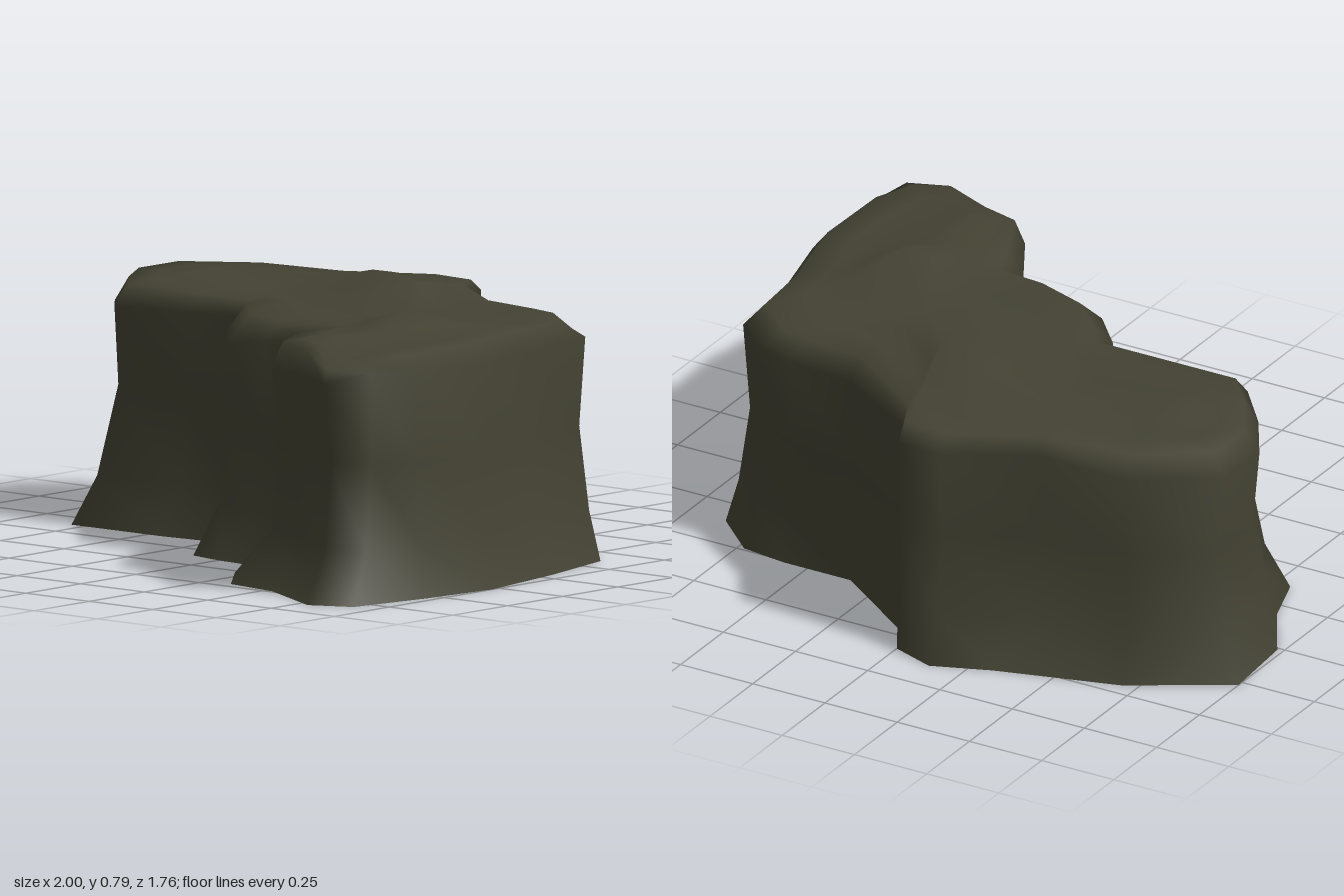
import * as THREE from 'three';
import { mergeVertices } from 'three/addons/utils/BufferGeometryUtils.js';

// Ground outline, x and z, along the back and round to the front
const base = [
  [-1, -.52], [-.7, -.7], [-.32, -.81], [-.14, -.88], [0, -.83], [.04, -.73], [.35, -.51],
  [.58, -.51], [.73, -.49], [.87, -.36], [.94, -.07], [1, .28], [.97, .55], [.92, .82],
  [.79, .88], [.53, .74], [.34, .71], [.2, .53], [.17, .39], [0, .375], [-.12, .35],
  [-.2, .2], [-.23, .1], [-.45, .12], [-.8, .12], [-.86, -.06], [-.98, -.26],
];
// Upper rim, x, z and height, point for point above the ground outline
const rim = [
  [-.93, -.49, .66], [-.69, -.65, .66], [-.4, -.68, .68], [-.14, -.82, .68], [0, -.82, .68],
  [.05, -.71, .68], [.35, -.51, .66], [.57, -.49, .66], [.69, -.46, .66], [.81, -.36, .67],
  [.83, -.1, .66], [.9, .2, .66], [.9, .5, .67], [.86, .68, .68], [.76, .77, .65],
  [.54, .63, .64], [.39, .58, .64], [.28, .37, .66], [.25, .28, .67], [.1, .3, .66],
  [-.06, .27, .64], [-.18, .13, .65], [-.19, .05, .68], [-.42, .05, .67], [-.7, .04, .66],
  [-.82, -.1, .65], [-.93, -.28, .65],
];
// How far each wall has moved from base to rim at the foot and at the waist
const lean = [
  [.7, 1.4], [.8, 1.2], [.8, 1.2], [.8, 1.3], [.8, 1.3], [.8, 1], [1, 1], [.75, 1.1], [.8, 1.4],
  [.75, 1.4], [.7, 1.1], [.6, .75], [.6, .8], [.8, 1.1], [1.05, 1.4], [1, 1.1], [1, 1.1], [.8, 1.1],
  [.7, 1], [.8, 1], [.8, 1], [.8, 1], [.8, 1], [.8, 1.1], [.6, 1.1], [.7, 1.2], [.7, 1.4],
];
// Ridge line along the top, and the ridge point each rim point leans towards
const ridge = {
  A: [-.6, -.3], B: [-.3, -.36], C: [-.08, -.42], D: [.14, -.32], E: [.33, -.1], F: [.54, .12],
  G: [.57, .27], H: [.56, .43],
};
const anchors = 'AABCDDEEEFFGHHHHHGFEDCBBAAA';

// Swells and dips of the top: x, z, height, radius
const swells = [
  [.54, .12, .07, .11], [-.08, -.44, .055, .15], [.14, -.32, .055, .15], [-.58, -.3, .03, .15],
  [.5, .43, .03, .1], [.76, .82, -.045, .22],
];
const topHeight = (x, z) => swells.reduce(
  (h, [sx, sz, a, r]) => h + a * Math.exp(-((x - sx) ** 2 + (z - sz) ** 2) / (r * r)), .72);

const mix = (a, b, t) => [a[0] + (b[0] - a[0]) * t, a[1] + (b[1] - a[1]) * t];

function rockGeometry() {
  const n = base.length;
  // Walls: flared foot, waist, then the uneven rim
  const wall = (heightAt, leanAt) => base.map((p, i) => {
    const [x, z] = mix(p, rim[i], leanAt(i));
    return [x, heightAt(i), z];
  });
  // Top: rings closing in on the ridge line
  const top = (t) => rim.map((p, i) => {
    const [x, z] = mix(p, ridge[anchors[i]], t);
    return [x, topHeight(x, z), z];
  });
  const rings = [
    wall(() => 0, () => 0),
    wall(() => .15, (i) => lean[i][0]),
    wall(() => .4, (i) => lean[i][1]),
    wall((i) => rim[i][2], () => 1),
    ...[.14, .4, .7, 1].map(top),
  ];
  const index = [];
  for (let r = 0; r < rings.length - 1; r++) {
    for (let i = 0; i < n; i++) {
      const a = r * n + i, b = r * n + (i + 1) % n;
      index.push(a, a + n, b + n, a, b + n, b);
    }
  }
  const geometry = new THREE.BufferGeometry();
  geometry.setAttribute('position', new THREE.Float32BufferAttribute(rings.flat(2), 3));
  geometry.setIndex(index);
  // Join the two sides of the ridge so the shading stays smooth
  const joined = mergeVertices(geometry, 1e-4);
  joined.computeVertexNormals();
  return joined;
}

export function createModel() {
  const model = new THREE.Group();
  model.name = 'rockOutcrop';
  // Open underneath, so both sides show
  const stone = new THREE.MeshStandardMaterial({ color: 0x434233, side: THREE.DoubleSide });
  stone.name = 'mossy stone';
  const rock = new THREE.Mesh(rockGeometry(), stone);
  rock.name = 'rock';
  model.add(rock);
  return model;
}
